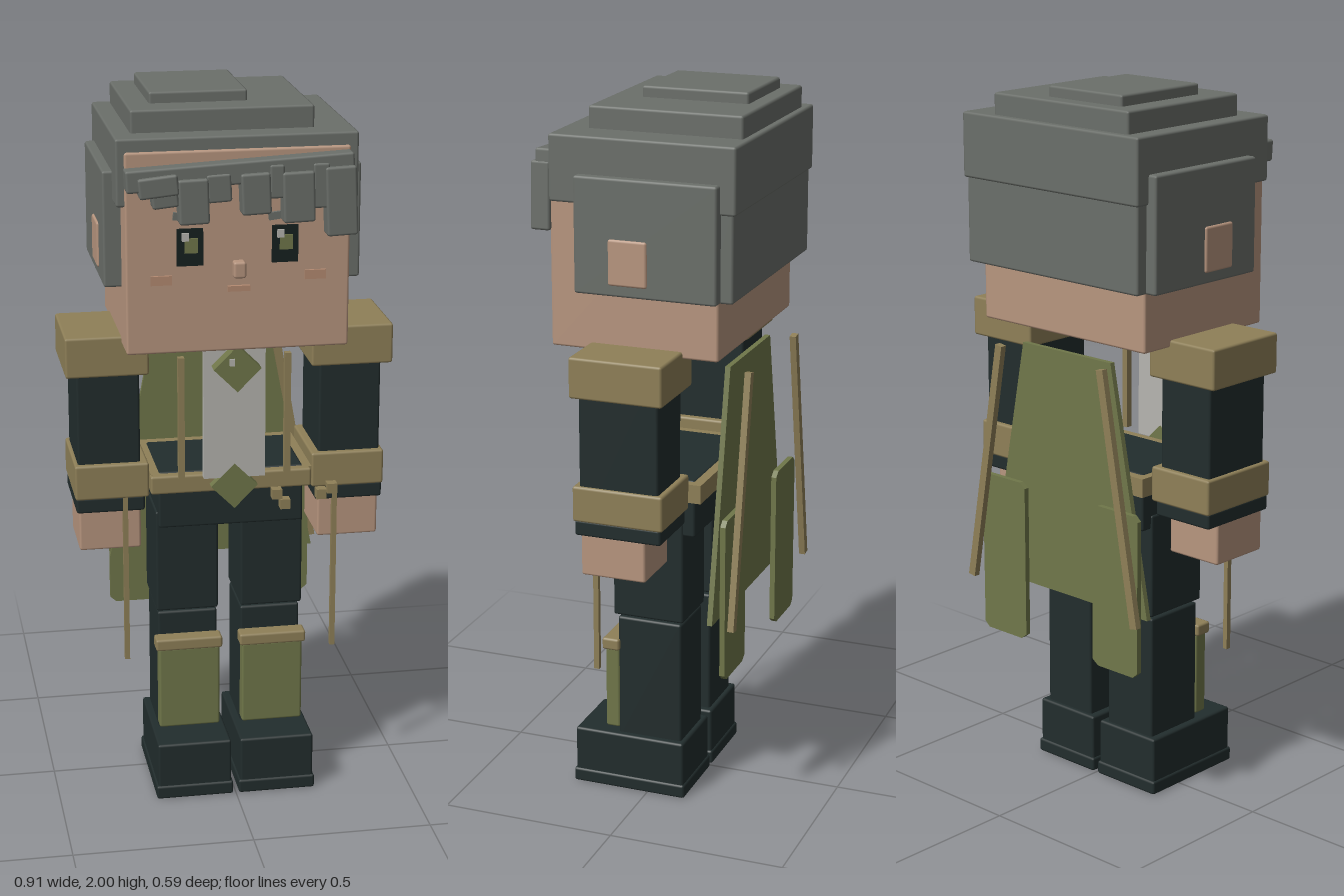
import * as THREE from 'three';
import { RoundedBoxGeometry } from 'three/addons/geometries/RoundedBoxGeometry.js';

const mat = (name, color, side = THREE.FrontSide) => {
  const m = new THREE.MeshStandardMaterial({ color, side });
  m.name = name;
  return m;
};

export function createModel() {
  const model = new THREE.Group();
  model.name = 'blockyAdventurer';
  const hair = mat('hairGrey', 0x6b6f6a);
  const skin = mat('skin', 0xb8967f);
  const blush = mat('blush', 0xb58b72);
  const dark = mat('darkCloth', 0x222d2d);
  const olive = mat('oliveCloth', 0x70774a, THREE.DoubleSide);
  const gold = mat('goldTrim', 0x8f8058);
  const white = mat('shirtWhite', 0xb6b5b0);
  const eyeDark = mat('eyeDark', 0x16201f);

  const add = (name, geo, material, parent = model) => {
    const mesh = new THREE.Mesh(geo, material);
    mesh.name = name;
    parent.add(mesh);
    return mesh;
  };
  // Box given by its extents; larger blocks get a small chamfer
  const box = (name, material, [x0, x1], [y0, y1], [z0, z1], tilt = 0) => {
    const w = x1 - x0, h = y1 - y0, d = z1 - z0;
    const geo = Math.min(w, h, d) > 0.03
      ? new RoundedBoxGeometry(w, h, d, 1, 0.007)
      : new THREE.BoxGeometry(w, h, d);
    const mesh = add(name, geo, material);
    mesh.position.set((x0 + x1) / 2, (y0 + y1) / 2, (z0 + z1) / 2);
    mesh.rotation.z = tilt;
    return mesh;
  };
  // Mirrored pair; x extents are given for the +x side
  const pair = (name, material, [x0, x1], y, z, tilt = 0) => {
    box(name + 'Left', material, [x0, x1], y, z, tilt);
    box(name + 'Right', material, [-x1, -x0], y, z, -tilt);
  };

  // Head and face
  box('head', skin, [-0.3, 0.3], [1.33, 1.875], [-0.235, 0.24]);
  box('neck', skin, [-0.085, 0.085], [1.29, 1.34], [-0.08, 0.08]);
  box('nose', skin, [-0.017, 0.017], [1.535, 1.58], [0.235, 0.27]);
  box('mouth', blush, [-0.03, 0.03], [1.496, 1.511], [0.238, 0.25]);
  pair('cheek', blush, [0.178, 0.235], [1.52, 1.545], [0.238, 0.247]);
  pair('ear', skin, [0.3, 0.354], [1.525, 1.65], [-0.055, 0.055]);
  for (const x of [-0.13, 0.124]) {
    box('eye', eyeDark, [x - 0.035, x + 0.035], [1.57, 1.67], [0.238, 0.247]);
    box('iris', olive, [x - 0.015, x + 0.02], [1.605, 1.645], [0.245, 0.251]);
    box('eyeGlint', white, [x - 0.022, x - 0.004], [1.638, 1.66], [0.247, 0.254]);
    box('eyebrow', hair, [x - 0.045, x + 0.045], [1.69, 1.71], [0.238, 0.25], x < 0 ? -0.12 : 0.12);
  }

  // Hair cap, stacked crown tiers, back and sides
  box('hairCap', hair, [-0.322, 0.322], [1.73, 1.91], [-0.288, 0.233]);
  box('crownTier', hair, [-0.273, 0.217], [1.9, 1.97], [-0.27, 0.162]);
  box('crownTop', hair, [-0.211, 0.053], [1.96, 2.0], [-0.227, 0.075]);
  box('hairBack', hair, [-0.315, 0.315], [1.495, 1.74], [-0.28, -0.2]);
  pair('hairSide', hair, [0.29, 0.348], [1.495, 1.81], [-0.246, 0.153]);

  // Fringe band with hanging locks
  box('fringeBand', hair, [-0.302, 0.302], [1.79, 1.85], [0.225, 0.28], 0.05);
  const locks = [
    [-0.27, -0.165, 1.765, 1.82, 0.1], [-0.235, -0.165, 1.735, 1.79, 0.1],
    [-0.165, -0.085, 1.69, 1.81, 0.03], [-0.09, -0.025, 1.745, 1.82, 0.05],
    [0, 0.078, 1.71, 1.82, 0.04], [0.075, 0.115, 1.75, 1.84, 0],
    [0.11, 0.195, 1.685, 1.82, 0.03], [0.19, 0.235, 1.72, 1.84, 0],
    [0.225, 0.308, 1.645, 1.83, 0.04],
  ];
  locks.forEach(([x0, x1, y0, y1, tilt], i) =>
    box('fringeLock' + i, hair, [x0, x1], [y0, y1], [0.236, i % 2 ? 0.285 : 0.292], tilt));

  // Arms, shoulder pads, cuffs and hands
  pair('arm', dark, [0.25, 0.423], [0.86, 1.33], [-0.113, 0.113]);
  pair('shoulderPad', gold, [0.225, 0.453], [1.237, 1.35], [-0.135, 0.128]);
  pair('cuff', gold, [0.228, 0.433], [0.885, 0.985], [-0.128, 0.13]);
  pair('cuffLining', dark, [0.24, 0.43], [0.845, 0.89], [-0.122, 0.125]);
  pair('hand', skin, [0.25, 0.422], [0.73, 0.85], [-0.075, 0.11]);

  // Shirt front, hips and belt
  box('shirtFront', white, [-0.085, 0.085], [0.95, 1.33], [0.163, 0.186]);
  box('hips', dark, [-0.203, 0.203], [0.79, 0.955], [-0.135, 0.13]);
  box('belt', gold, [-0.228, 0.222], [0.9, 0.953], [0.125, 0.158]);
  box('beltBack', gold, [-0.225, 0.225], [0.9, 0.953], [-0.16, -0.13]);
  pair('beltSide', gold, [0.2, 0.225], [0.9, 0.953], [-0.14, 0.14]);
  pair('lapelTrim', gold, [0.138, 0.155], [0.955, 1.3], [0.17, 0.19]);
  pair('sideCord', gold, [0.288, 0.302], [0.4, 0.895], [0.112, 0.127]);
  for (const [x, y] of [[0.12, 0.892], [0.143, 0.862], [0.245, 0.885], [0.275, 0.9]])
    box('beltCharm', gold, [x - 0.014, x + 0.014], [y - 0.014, y + 0.014], [0.16, 0.188]);

  // Diamond brooch and buckle
  for (const [name, y, z, d] of [['brooch', 1.275, 0.213, 0.04], ['buckle', 0.925, 0.172, 0.03]]) {
    const gem = add(name, new THREE.BoxGeometry(0.092, 0.092, d), olive);
    gem.position.set(0, y, z);
    gem.rotation.z = Math.PI / 4;
  }
  box('broochGlint', white, [-0.022, -0.008], [1.285, 1.305], [0.232, 0.238]);

  // Cape: flared main panel with two lower tails and slanted trims
  const panel = (name, points, z, depth) => {
    const shape = new THREE.Shape(points.map(([x, y]) => new THREE.Vector2(x, y)));
    add(name, new THREE.ExtrudeGeometry(shape, { depth, bevelEnabled: false }), olive)
      .position.z = z;
  };
  panel('cape', [[-0.165, 1.28], [-0.3, 0.58], [0.3, 0.58], [0.165, 1.28]], -0.222, 0.015);
  for (const s of [1, -1]) {
    panel('capeTail', [[0.15, 0.885], [0.13, 0.87], [0.13, 0.435], [0.15, 0.42],
      [0.28, 0.42], [0.297, 0.435], [0.297, 0.87], [0.28, 0.885]].map(([x, y]) => [s * x, y]), -0.258, 0.015);
  }
  pair('capeTrim', gold, [0.24, 0.264], [0.575, 1.285], [-0.293, -0.275], 0.175);

  // Legs, shin guards and boots
  pair('thigh', dark, [0.032, 0.208], [0.53, 0.83], [-0.102, 0.106]);
  pair('shin', dark, [0.034, 0.203], [0.15, 0.523], [-0.095, 0.095]);
  pair('shinGuard', olive, [0.032, 0.206], [0.18, 0.425], [0.09, 0.133]);
  pair('shinGuardBand', gold, [0.025, 0.215], [0.42, 0.455], [0.088, 0.14]);
  pair('boot', dark, [0.013, 0.223], [0.02, 0.167], [-0.108, 0.22]);
  pair('sole', dark, [0.008, 0.228], [0, 0.04], [-0.113, 0.225]);

  return model;
}
